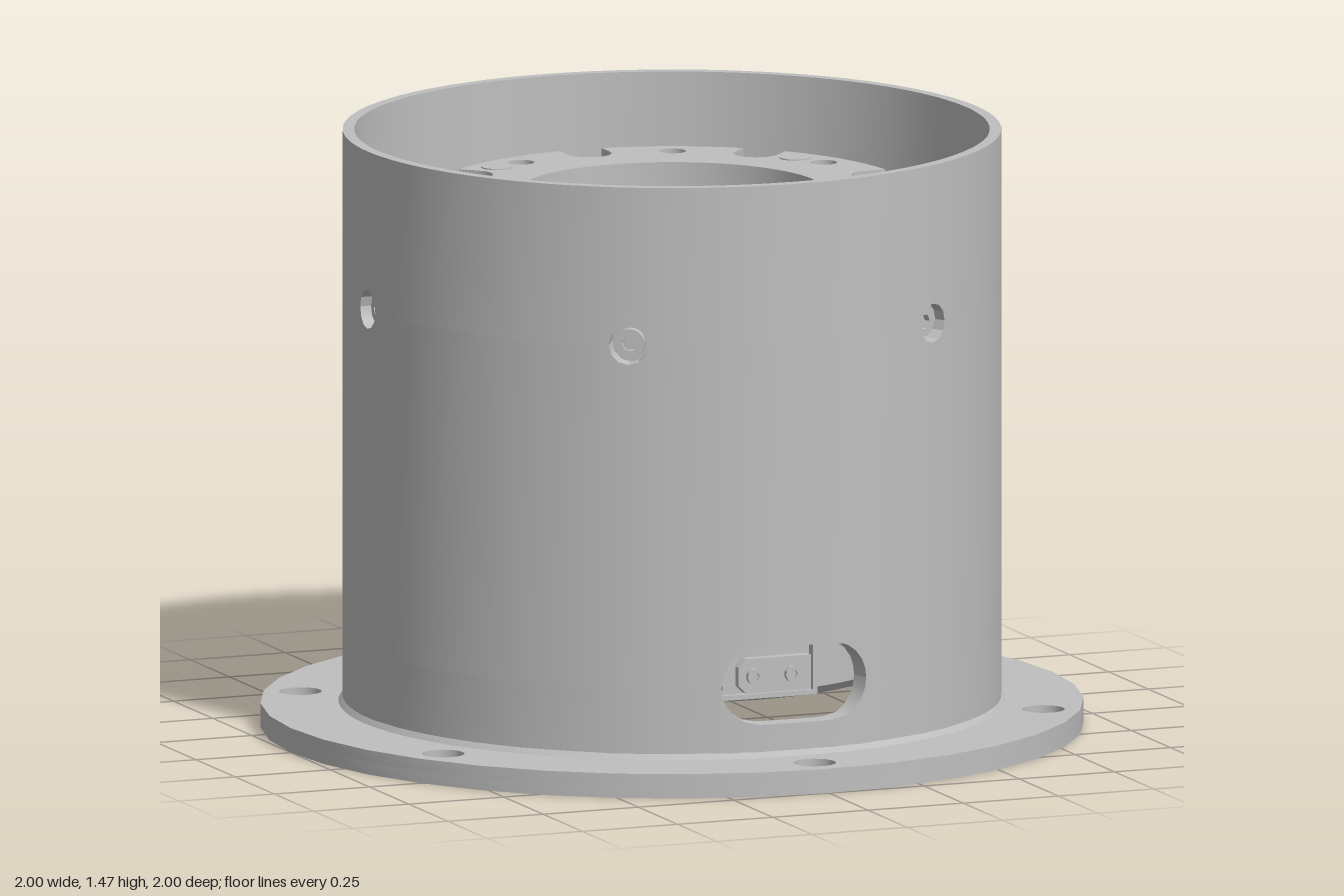
import * as THREE from 'three';
import { toCreasedNormals } from 'three/addons/utils/BufferGeometryUtils.js';

const metal = new THREE.MeshStandardMaterial({ color: 0xbfbfbf });
metal.name = 'machined grey';
const rad = THREE.MathUtils.degToRad;

function add(parent, name, geometry, x = 0, y = 0, z = 0) {
  const mesh = new THREE.Mesh(geometry, metal);
  mesh.name = name;
  mesh.position.set(x, y, z);
  parent.add(mesh);
  return mesh;
}

// Points on a circle, angle measured counter-clockwise from +x seen from above
const polar = (r, deg) => [r * Math.cos(rad(deg)), r * Math.sin(rad(deg))];
const spread = (n, start) => Array.from({ length: n }, (_, i) => start + (i * 360) / n);

function circlePoints(r, n, cx = 0, cy = 0) {
  return spread(n, 0).map((d) => {
    const [x, y] = polar(r, d);
    return new THREE.Vector2(cx + x, cy + y);
  });
}

// Adds round holes of radius r to a shape on a bolt circle
function punch(shape, r, circleR, angles, sides = 14) {
  for (const d of angles) shape.holes.push(new THREE.Path(circlePoints(r, sides, ...polar(circleR, d))));
  return shape;
}

// Flat plate extruded upward, with its underside at y = 0
function slab(shape, height) {
  const g = new THREE.ExtrudeGeometry(shape, { depth: height, bevelEnabled: false });
  return toCreasedNormals(g.rotateX(-Math.PI / 2), 0.6);
}

const disc = (r, sides = 72) => new THREE.Shape(circlePoints(r, sides));

function lathe(profile) {
  const g = new THREE.LatheGeometry(profile.map((p) => new THREE.Vector2(...p)), 72);
  return toCreasedNormals(g, 0.5);
}

// Cap screw with a hexagonal socket, head pointing up
function makeBolt(r, h) {
  const bolt = new THREE.Group();
  bolt.name = 'capScrew';
  add(bolt, 'screwHead', slab(punch(disc(r, 20), r * 0.55, 0, [0], 6), h));
  add(bolt, 'socketFloor', new THREE.CylinderGeometry(r * 0.8, r * 0.8, h * 0.4, 12), 0, h * 0.2);
  return bolt;
}

function boltCircle(parent, name, bolt, r, y, angles, flip = false) {
  const ring = new THREE.Group();
  ring.name = name;
  for (const d of angles) {
    const b = bolt.clone();
    const [x, up] = polar(r, d);
    b.position.set(x, y, -up);
    if (flip) b.rotation.x = Math.PI;
    ring.add(b);
  }
  parent.add(ring);
}

// Half-height of the cable slots and screw holes in the wall at angle a
function slotHalf(a) {
  const x = Math.abs(0.8 * Math.sin(a));
  if (x < 0.095) return 0.095;
  return x < 0.19 ? Math.sqrt(0.095 ** 2 - (x - 0.095) ** 2) : 0;
}
const holeCentres = spread(6, 30).map(rad);
function holeHalf(a) {
  const d = Math.min(...holeCentres.map((c) => Math.abs(a - c))) * 0.8;
  return d < 0.048 ? Math.sqrt(0.048 ** 2 - d * d) : 0;
}

function wallAngles() {
  const list = spread(72, 0).map(rad);
  for (const c of holeCentres) for (const t of [-1, -0.87, -0.5, 0, 0.5, 0.87, 1]) list.push(c + t * 0.06);
  for (const c of [0, Math.PI, 2 * Math.PI]) {
    for (const x of [0.095, 0.13, 0.16, 0.178, 0.187, 0.19]) {
      list.push(c + Math.asin(x / 0.8), c - Math.asin(x / 0.8));
    }
  }
  const sorted = list.filter((a) => a >= 0 && a < 2 * Math.PI).sort((p, q) => p - q);
  return [...sorted.filter((a, i) => i === 0 || a - sorted[i - 1] > 1e-4), 2 * Math.PI];
}

// Ring of wall whose lower and upper edges follow functions of the angle
function wallBand(r0, r1, lo, hi) {
  const pos = [];
  const at = (a, r, y) => [r * Math.sin(a), y, r * Math.cos(a)];
  const quad = (p, q, s, t) => pos.push(...p, ...q, ...s, ...p, ...s, ...t);
  const angles = wallAngles();
  for (let i = 0; i < angles.length - 1; i++) {
    const a = angles[i], b = angles[i + 1];
    const [la, lb, ha, hb] = [lo(a), lo(b), hi(a), hi(b)];
    quad(at(a, r1, la), at(b, r1, lb), at(b, r1, hb), at(a, r1, ha));
    quad(at(b, r0, lb), at(a, r0, la), at(a, r0, ha), at(b, r0, hb));
    quad(at(a, r1, ha), at(b, r1, hb), at(b, r0, hb), at(a, r0, ha));
    quad(at(a, r0, la), at(b, r0, lb), at(b, r1, lb), at(a, r1, la));
  }
  const g = new THREE.BufferGeometry();
  g.setAttribute('position', new THREE.Float32BufferAttribute(pos, 3));
  g.computeVertexNormals();
  return toCreasedNormals(g, 0.5);
}

// Output disc outline with eight U-shaped notches open at the rim
function notchedDisc(R, boltR, w) {
  const pts = [];
  const edge = THREE.MathUtils.radToDeg(Math.asin(w / R));
  for (const d of spread(8, 0)) {
    const c = Math.cos(rad(d)), s = Math.sin(rad(d));
    for (let i = 0; i <= 10; i++) {
      const t = -Math.PI / 2 - (i / 10) * Math.PI;
      const u = boltR + w * Math.cos(t), v = w * Math.sin(t);
      pts.push(new THREE.Vector2(u * c - v * s, u * s + v * c));
    }
    for (let i = 0; i <= 8; i++) {
      pts.push(new THREE.Vector2(...polar(R, d + edge + ((45 - 2 * edge) * i) / 8)));
    }
  }
  return new THREE.Shape(pts);
}

function makeConnector() {
  const c = new THREE.Group();
  c.name = 'connector';
  add(c, 'connectorBack', new THREE.BoxGeometry(0.3, 0.15, 0.05), 0, 0.235, 0.515);
  for (const s of [-1, 1]) add(c, 'connectorSide', new THREE.BoxGeometry(0.012, 0.15, 0.03), s * 0.144, 0.235, 0.55);
  for (const y of [0.166, 0.304]) add(c, 'connectorRail', new THREE.BoxGeometry(0.3, 0.012, 0.03), 0, y, 0.55);
  add(c, 'pinBlock', new THREE.BoxGeometry(0.06, 0.085, 0.025), -0.095, 0.217, 0.55);
  for (const y of [0.19, 0.215, 0.24]) add(c, 'pin', new THREE.BoxGeometry(0.012, 0.012, 0.008), -0.095, y, 0.565);
  const plug = new THREE.Shape([[-0.06, 0.195], [-0.04, 0.175], [0.13, 0.175], [0.13, 0.26], [-0.04, 0.26], [-0.06, 0.24]]
    .map((p) => new THREE.Vector2(...p)));
  add(c, 'plug', new THREE.ExtrudeGeometry(plug, { depth: 0.03, bevelEnabled: false }), 0, 0, 0.54);
  for (const x of [-0.02, 0.08]) {
    const screw = makeBolt(0.02, 0.012);
    screw.rotation.x = Math.PI / 2;
    screw.position.set(x, 0.217, 0.57);
    c.add(screw);
  }
  return c;
}

export function createModel() {
  const model = new THREE.Group();
  model.name = 'flangedActuator';

  // Mounting flange, stepped on the inside
  const flangeHoles = spread(6, 30);
  const flange = (inner) => punch(punch(disc(1, 36), 0.052, 0.91, flangeHoles, 20), inner, 0, [0], 72);
  add(model, 'flangeLower', slab(flange(0.79), 0.03));
  add(model, 'flangeUpper', slab(flange(0.75), 0.03), 0, 0.03);
  add(model, 'flangeFillet', lathe([[0.81, 0.06], [0.799, 0.075]]));

  // Housing wall with front and back cable slots and six screw holes
  const slotY = 0.235, holeY = 1.08;
  add(model, 'housingBottom', wallBand(0.75, 0.8, () => 0.06, (a) => slotY - slotHalf(a)));
  add(model, 'housingMiddle', wallBand(0.75, 0.8, (a) => slotY + slotHalf(a), (a) => holeY - holeHalf(a)));
  add(model, 'housingTop', wallBand(0.772, 0.8, (a) => holeY + holeHalf(a), () => 1.47));
  const wallBolt = makeBolt(0.036, 0.025);
  for (const a of holeCentres) {
    const arm = new THREE.Group();
    arm.name = 'wallScrew';
    const b = wallBolt.clone();
    b.position.set(0, holeY, 0.75);
    b.rotation.x = Math.PI / 2;
    arm.rotation.y = a;
    arm.add(b);
    model.add(arm);
  }

  // Clamp ring between actuator and housing
  const between = spread(8, 22.5);
  add(model, 'clampRing', lathe([[0.54, 0.97], [0.752, 0.97], [0.752, 1.15], [0.774, 1.15], [0.774, 1.19],
    [0.72, 1.19], [0.72, 1.14], [0.54, 1.14], [0.54, 0.97]]));
  add(model, 'clampRingTop', slab(punch(punch(disc(0.72), 0.54, 0, [0], 72), 0.042, 0.655, between), 0.07), 0, 1.14);
  boltCircle(model, 'clampScrews', makeBolt(0.036, 0.045), 0.655, 1.14, between);
  for (const s of [-1, 1]) add(model, 'ledgeKey', new THREE.BoxGeometry(0.03, 0.03, 0.055), 0, 1.195, s * 0.745);

  // Actuator body with bottom cover screws
  add(model, 'actuatorBody', lathe([[0, 0.15], [0.53, 0.15], [0.547, 0.17], [0.547, 1.16], [0, 1.16]]));
  boltCircle(model, 'coverScrews', makeBolt(0.036, 0.02), 0.5, 0.152, spread(4, 45), true);
  for (const turn of [0, Math.PI]) {
    const c = makeConnector();
    c.rotation.y = turn;
    model.add(c);
  }

  // Recessed centre plate
  const centre = disc(0.585);
  punch(centre, 0.06, 0.25, spread(3, 30), 20);
  punch(centre, 0.03, 0.245, spread(6, 0), 10);
  for (const d of spread(3, 90)) punch(centre, 0.013, 0.31, [d - 15, d + 15], 8);
  add(model, 'centrePlate', slab(centre, 0.06), 0, 1.16);
  boltCircle(model, 'centreScrews', makeBolt(0.045, 0.035), 0.25, 1.16, spread(3, 30));

  // Raised output ring with notches, threaded holes and dowel pins
  const output = notchedDisc(0.585, 0.53, 0.055);
  punch(output, 0.37, 0, [0], 72);
  punch(output, 0.033, 0.52, between);
  add(model, 'outputRing', slab(output, 0.1), 0, 1.22);
  boltCircle(model, 'outputScrews', makeBolt(0.047, 0.075), 0.53, 1.22, spread(8, 0));
  for (const d of spread(4, 32.5)) {
    const [x, up] = polar(0.52, d);
    add(model, 'dowelPin', new THREE.CylinderGeometry(0.038, 0.038, 0.006, 20), x, 1.32, -up);
  }
  return model;
}
